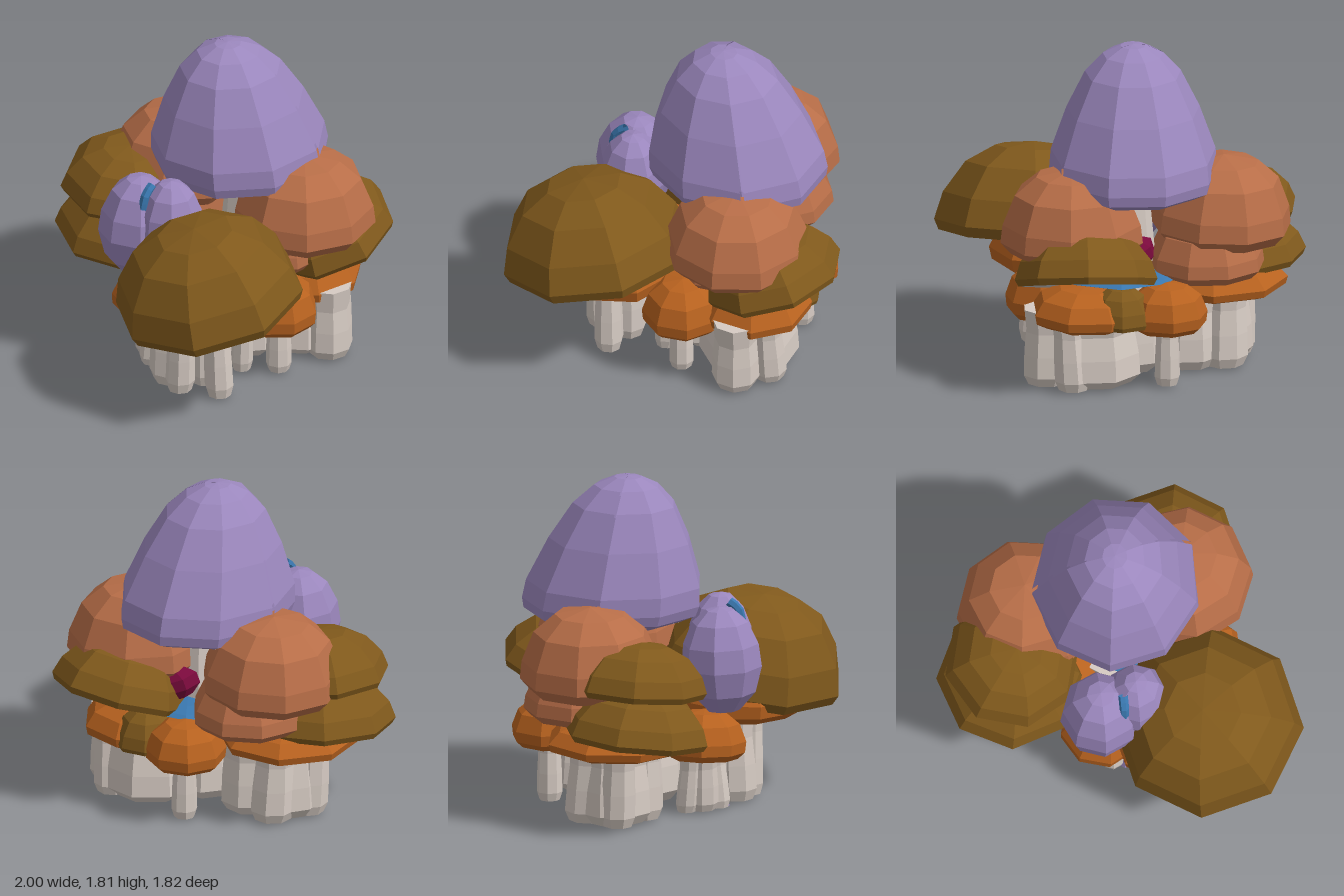
import * as THREE from 'three';

const mat = (color) => new THREE.MeshStandardMaterial({ color, flatShading: true, side: THREE.DoubleSide });
const purple = mat(0x9b87bd), salmon = mat(0xb86e48), brown = mat(0x80591c), orange = mat(0xb8621f);
const blue = mat(0x3a78b0), crimson = mat(0x7a0a3c), gills = mat(0xcccccc), flesh = mat(0xd6cbc3);

// Profiles as [radius, height], both relative to the cap's own radius and height
const DOME = [[0.95, -0.06], [1, 0.06], [0.92, 0.38], [0.7, 0.74], [0.4, 0.94], [0, 1]];
const ROUND = [[0.86, -0.02], [1, 0.12], [0.97, 0.34], [0.8, 0.7], [0.5, 0.92], [0, 1]];
const LOW = [[0.8, -0.08], [0.97, 0.06], [1, 0.3], [0.84, 0.68], [0.5, 0.93], [0, 1]];
const BELL = [[0.8, 0], [0.97, 0.05], [1, 0.12], [0.98, 0.25], [0.79, 0.55], [0.57, 0.8], [0.36, 0.93], [0.15, 0.99], [0, 1]];
const EGG = [[0.42, 0], [0.82, 0.17], [1, 0.42], [0.94, 0.64], [0.7, 0.85], [0.35, 0.97], [0, 1]];
const STEM = [[0, 0], [0.8, 0], [1, 0.12], [0.97, 0.4], [0.88, 0.7], [0.98, 1], [0, 1]];

const lathe = (profile, r, h, sides, start = 0, sweep = Math.PI * 2) =>
  new THREE.LatheGeometry(profile.map(([a, b]) => new THREE.Vector2(a * r, b * h)), sides, start, sweep);

// Lean every ring sideways in proportion to its height
function lean(geometry, h, lx, lz) {
  const p = geometry.attributes.position;
  for (let k = 0; k < p.count; k++) {
    const t = p.getY(k) / h;
    p.setXYZ(k, p.getX(k) + lx * t, p.getY(k), p.getZ(k) + lz * t);
  }
  return geometry;
}

export function createModel() {
  const root = new THREE.Group();

  const add = (name, geometry, material, parent = root) => {
    const mesh = new THREE.Mesh(geometry, material);
    mesh.name = name;
    parent.add(mesh);
    return mesh;
  };

  // A cap is a coloured shell closed by a shallow gilled underside
  const cap = (name, material, profile, [x, y, z], r, h, { sides = 8, tiltX = 0, tiltZ = 0, turn = 0 } = {}) => {
    const group = new THREE.Group();
    group.name = name;
    add('shell', lathe(profile, r, h, sides), material, group);
    const [rim, low] = profile[0];
    add('gills', lathe([[0, low + 0.08], [rim, low]], r, h, sides), gills, group);
    group.position.set(x, y, z);
    group.rotation.set(tiltX, turn, tiltZ);
    root.add(group);
  };

  // Tall nine-sided bell cap, split by a narrow seam over a slimmer core
  const bell = new THREE.Group();
  bell.name = 'tallCap';
  const side = Math.PI * 2 / 9, seam = 0.02;
  add('core', lean(lathe(BELL, 0.435, 0.765, 9), 0.79, 0, 0.09), purple, bell);
  for (const [name, first, count] of [['frontShell', -2, 5], ['backShell', 3, 4]]) {
    const shell = lathe(BELL, 0.46, 0.79, count, first * side + seam, count * side - 2 * seam);
    add(name, lean(shell, 0.79, 0, 0.09), purple, bell);
  }
  add('underside', lathe([[0, 0.05], [0.8, 0]], 0.46, 0.79, 9), gills, bell);
  bell.scale.z = 1.08;
  bell.position.set(-0.06, 1.02, -0.19);
  root.add(bell);

  // Salmon caps, each with a smaller lip beneath
  cap('leftRoundCap', salmon, ROUND, [-0.53, 0.74, -0.12], 0.385, 0.45, { sides: 9, tiltZ: 0.04 });
  cap('leftRoundCapLip', salmon, ROUND, [-0.45, 0.56, -0.2], 0.32, 0.32, { sides: 9 });
  cap('rightRoundCap', salmon, ROUND, [0.28, 0.74, -0.355], 0.39, 0.45, { sides: 9, turn: 0.3 });
  cap('rightRoundCapLip', salmon, ROUND, [0.22, 0.57, -0.23], 0.24, 0.3, { sides: 9 });

  // Broad brown caps
  cap('frontBroadCap', brown, DOME, [0.475, 0.62, 0.4], 0.52, 0.47, { tiltX: 0.2, tiltZ: 0.05 });
  cap('leftLowerBroadCap', brown, DOME, [-0.61, 0.5, 0.17], 0.4, 0.28, { tiltX: 0.08, tiltZ: -0.1, turn: 0.1 });
  cap('leftUpperBroadCap', brown, DOME, [-0.6, 0.76, 0.18], 0.37, 0.27, { tiltX: 0.06, tiltZ: -0.12, turn: 0.3 });
  cap('backBroadCap', brown, DOME, [0.21, 0.61, -0.55], 0.385, 0.3, { tiltX: 0.33 });
  cap('backSmallBrownCap', brown, DOME, [0.02, 0.38, -0.53], 0.18, 0.2);

  // Low orange caps: x, y, z, radius, height, tilt in z
  const low = [
    [0.31, 0.46, 0.365, 0.385, 0.29, -0.05], [-0.11, 0.31, 0.37, 0.225, 0.25, -0.1], [0.41, 0.31, -0.09, 0.22, 0.27, 0],
    [-0.23, 0.34, -0.47, 0.22, 0.24, 0], [0.2, 0.36, -0.42, 0.31, 0.2, 0], [-0.51, 0.41, 0.02, 0.39, 0.17, 0],
  ];
  low.forEach(([x, y, z, r, h, tiltZ], i) =>
    cap('lowCap' + (i + 1), orange, LOW, [x, y, z], r, h, { tiltZ, turn: i * 0.3 }));

  // Pair of small egg-shaped caps in front
  cap('frontEggCap', purple, EGG, [-0.1, 0.57, 0.475], 0.22, 0.57, { tiltX: -0.04, turn: 0.2 });
  cap('sideEggCap', purple, EGG, [0.085, 0.66, 0.385], 0.18, 0.51, { turn: 0.2 });

  // Blue sprout between the small caps
  const sproutPath = new THREE.CatmullRomCurve3([
    new THREE.Vector3(0.03, 1.02, 0.53), new THREE.Vector3(0.03, 1.1, 0.51), new THREE.Vector3(0.02, 1.14, 0.46),
  ]);
  add('sprout', new THREE.TubeGeometry(sproutPath, 4, 0.026, 6), blue);

  // Thin blue shelf and crimson bud hidden under the tall cap
  cap('blueShelf', blue, DOME, [0.02, 0.57, -0.22], 0.36, 0.05);
  const bud = add('crimsonBud', new THREE.SphereGeometry(0.1, 7, 5), crimson);
  bud.position.set(-0.03, 0.7, -0.4);
  bud.scale.set(1.7, 1, 1);
  bud.rotation.set(0, 0.6, -0.35);

  // Inner trunk carrying the tall cap
  add('innerTrunk', new THREE.CylinderGeometry(0.1, 0.18, 0.85, 8), flesh).position.set(-0.04, 0.62, -0.2);

  // Clustered stems: x, z, radius, height, lean in x, lean in z
  const stems = [
    [-0.5, 0.0, 0.21, 0.46, 0, 0], [-0.62, 0.07, 0.1, 0.46, -0.03, 0], [-0.4, 0.13, 0.11, 0.46, 0, 0],
    [-0.55, -0.13, 0.13, 0.46, -0.02, -0.02], [-0.36, -0.12, 0.17, 0.44, 0, 0],
    [-0.12, 0.36, 0.09, 0.34, 0.03, 0], [-0.2, 0.3, 0.06, 0.34, 0.04, 0], [-0.04, 0.42, 0.07, 0.34, -0.03, 0],
    [0.17, 0.44, 0.12, 0.5, -0.02, 0], [0.29, 0.47, 0.08, 0.5, 0.02, 0], [0.46, 0.33, 0.08, 0.5, -0.02, 0],
    [0.29, 0.3, 0.1, 0.5, 0, 0], [0.06, 0.38, 0.06, 0.34, 0, 0],
    [0.17, -0.37, 0.27, 0.42, 0, 0], [0.42, -0.42, 0.13, 0.42, 0, 0], [0.28, -0.55, 0.1, 0.42, 0, -0.03],
    [-0.23, -0.48, 0.07, 0.38, 0, 0], [0.42, -0.09, 0.07, 0.36, 0, 0], [0.3, 0.07, 0.06, 0.45, 0.02, 0],
    [0.02, -0.1, 0.28, 0.5, 0, 0],
  ];
  stems.forEach(([x, z, r, h, lx, lz], i) => {
    const stem = add('stem' + (i + 1), lean(lathe(STEM, r, h, 8), h, lx, lz), flesh);
    stem.position.set(x, 0.01, z);
    stem.rotation.y = i * 0.7;
  });

  // Root plug and tiny buds at ground level
  add('rootPlug', new THREE.CylinderGeometry(0.08, 0.08, 0.04, 6), orange).position.set(0, 0.02, 0);
  for (const [x, z] of [[-0.31, 0.06], [0.03, 0.42], [-0.02, -0.27]]) {
    add('groundBud', new THREE.CylinderGeometry(0.02, 0.04, 0.08, 6), purple).position.set(x, 0.04, z);
  }
  return root;
}
